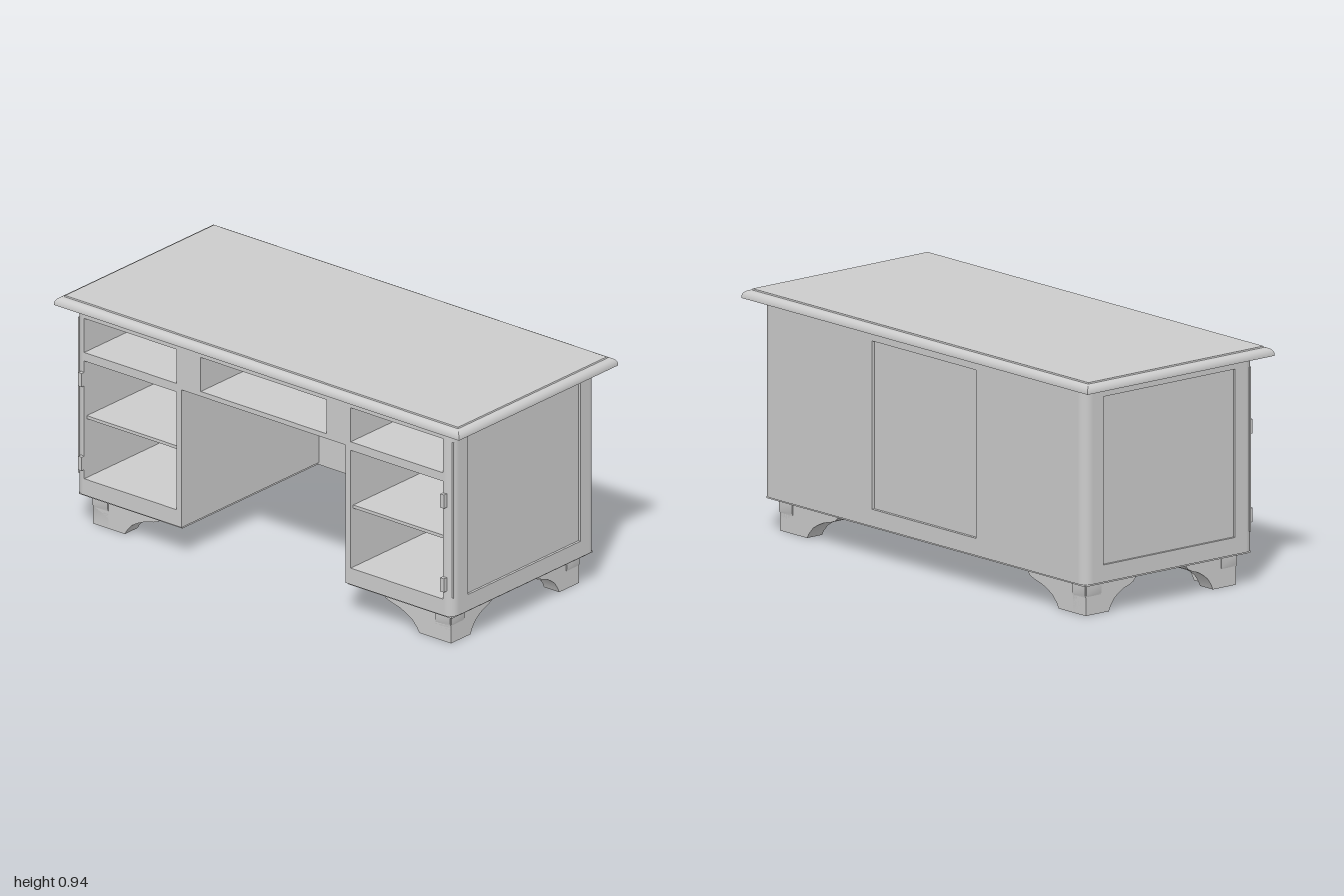
import * as THREE from 'three';
import { toCreasedNormals } from 'three/addons/utils/BufferGeometryUtils.js';

const grey = new THREE.MeshStandardMaterial({ color: 0xcccccc });

export function createModel() {
  const desk = new THREE.Group();
  desk.name = 'desk';
  const add = (name, geometry) => {
    const mesh = new THREE.Mesh(geometry, grey);
    mesh.name = name;
    desk.add(mesh);
    return mesh;
  };
  // box given by its limits on each axis
  const box = (name, x0, x1, y0, y1, z0, z1) =>
    add(name, new THREE.BoxGeometry(x1 - x0, y1 - y0, z1 - z0)
      .translate((x0 + x1) / 2, (y0 + y1) / 2, (z0 + z1) / 2));
  const outline = (pts) => pts.map(([x, y]) => new THREE.Vector2(x, y));
  const rect = (x0, x1, y0, y1) => outline([[x0, y0], [x1, y0], [x1, y1], [x0, y1]]);
  const extrude = (pts, holes, depth) => {
    const shape = new THREE.Shape(pts);
    shape.holes = holes.map((h) => new THREE.Path(h));
    return new THREE.ExtrudeGeometry(shape, { depth, bevelEnabled: false });
  };

  const Y0 = 0.133, Y1 = 0.9;      // body bottom and top
  const ZF = 0.385, ZB = -0.38;    // corner centres, front and back
  const R = 0.04, XC = 0.89;       // corner radius and centre
  const KX = 0.405, KY = 0.7;      // kneehole half width and height

  // desktop with a moulded, mitred edge: [inset, y] from underside to centre
  const profile = [[0.07, 0.898], [0, 0.898], [0, 0.906], [0.003, 0.915], [0.008, 0.922],
    [0.015, 0.927], [0.024, 0.93], [0.028, 0.93], [0.03, 0.935]];
  const loops = profile.map(([i, y]) => [[-1, 1], [1, 1], [1, -1], [-1, -1]]
    .map(([sx, sz]) => [sx * (1 - i), y, sz * (0.467 - i)]));
  const pos = [];
  const quad = (a, b, c, d) => pos.push(...a, ...b, ...c, ...a, ...c, ...d);
  for (let k = 0; k < loops.length - 1; k++) {
    for (let j = 0; j < 4; j++) {
      const n = (j + 1) % 4;
      quad(loops[k][j], loops[k][n], loops[k + 1][n], loops[k + 1][j]);
    }
  }
  const first = loops[0], last = loops[loops.length - 1];
  quad(last[0], last[1], last[2], last[3]);
  quad(first[3], first[2], first[1], first[0]);
  const topGeometry = new THREE.BufferGeometry();
  topGeometry.setAttribute('position', new THREE.Float32BufferAttribute(pos, 3));
  add('desktop', toCreasedNormals(topGeometry, 0.6));

  // front frame with drawer and cupboard openings
  const holes = [rect(-0.31, 0.31, 0.72, 0.86)];
  for (const s of [-1, 1]) {
    for (const [a, b] of [[0.72, 0.86], [0.2, 0.685]]) {
      holes.push(rect(Math.min(s * 0.43, s * 0.885), Math.max(s * 0.43, s * 0.885), a, b));
    }
  }
  add('frontFrame', extrude(outline([[-XC, Y0], [-KX, Y0], [-KX, KY], [KX, KY], [KX, Y0],
    [XC, Y0], [XC, Y1], [-XC, Y1]]), holes, R).translate(0, 0, ZF));

  // back frame and its sunken panel
  add('backFrame', extrude(rect(-XC, XC, Y0, Y1), [rect(-0.3, 0.3, 0.2, 0.855)], R)
    .translate(0, 0, ZB - R));
  box('backPanel', -0.3, 0.3, 0.2, 0.855, ZB - R + 0.013, ZB);

  // side frames and sunken panels
  for (const s of [-1, 1]) {
    add('sideFrame', extrude(rect(ZB, ZF, Y0, Y1), [rect(-0.328, 0.33, 0.2, 0.855)], R)
      .rotateY(-Math.PI / 2).translate(s > 0 ? XC + R : -XC, 0, 0));
    const p = [s * 0.885, s * (XC + R - 0.01)].sort((a, b) => a - b);
    box('sidePanel', p[0], p[1], 0.2, 0.855, -0.328, 0.33);
  }

  // rounded corner posts
  [[XC, ZF], [XC, ZB], [-XC, ZB], [-XC, ZF]].forEach(([x, z], i) => {
    add('cornerPost', new THREE.CylinderGeometry(R, R, Y1 - Y0, 10, 1, false,
      i * Math.PI / 2, Math.PI / 2).translate(x, (Y0 + Y1) / 2, z));
  });

  // pedestal interiors, hinges and base boards
  for (const s of [-1, 1]) {
    const part = (name, a, b, y0, y1, z0, z1) =>
      box(name, Math.min(s * a, s * b), Math.max(s * a, s * b), y0, y1, z0, z1);
    part('pedestalInnerWall', KX, 0.43, Y0, KY, ZB, ZF);
    part('pedestalLining', 0.885, XC, Y0, Y1, ZB, ZF);
    part('pedestalFloor', 0.43, 0.885, Y0, 0.2, ZB, ZF);
    part('shelf', 0.43, 0.885, 0.442, 0.455, ZB, 0.41);
    part('drawerDivider', 0.43, 0.885, 0.685, 0.72, ZB, ZF);
    part('pedestalCeiling', 0.43, 0.885, 0.86, Y1, ZB, ZF);
    part('drawerPartition', 0.31, 0.43, KY, Y1, ZB, ZF);
    part('pedestalBase', KX + 0.004, 0.92, 0.125, Y0, ZB - 0.03, 0.415);
    part('doorEdge', 0.919, 0.927, 0.21, 0.85, 0.405, 0.412);
    for (const y of [0.265, 0.61]) part('hinge', 0.885, 0.903, y - 0.028, y + 0.028, 0.415, 0.44);
  }
  box('drawerFloor', -0.43, 0.43, KY, 0.72, ZB, ZF);
  box('drawerCeiling', -0.31, 0.31, 0.86, Y1, ZB, ZF);
  box('backRail', -KX - 0.01, KX + 0.01, 0.125, Y0, ZB - 0.03, ZB);

  // bracket feet: two curved wings meeting at each corner
  const wing = (sign, outer, foot, tip, t) => {
    const at = (f) => foot + (tip - foot) * f;
    const pts = [[outer - 0.005, 0], [outer - 0.005, 0.07], [outer, 0.082], [outer, 0.126], [tip, 0.126],
      [tip, 0.108], [at(0.93), 0.097], [at(0.8), 0.088], [at(0.55), 0.077], [at(0.36), 0.062],
      [at(0.2), 0.045], [at(0.07), 0.02], [foot, 0]];
    return toCreasedNormals(extrude(outline(pts.map(([u, y]) => [sign * u, y])), [], t), 0.6);
  };
  const T = 0.075;
  for (const sx of [-1, 1]) {
    for (const sz of [-1, 1]) {
      add('footFrontWing', wing(sx, 0.887, 0.727, 0.55, T)
        .translate(0, 0, sz > 0 ? 0.375 - T : -0.375));
      add('footSideWing', wing(sz, 0.38, 0.26, 0.128, T).rotateY(-Math.PI / 2)
        .translate(sx > 0 ? 0.883 : -0.883 + T, 0, 0));
    }
  }
  return desk;
}
